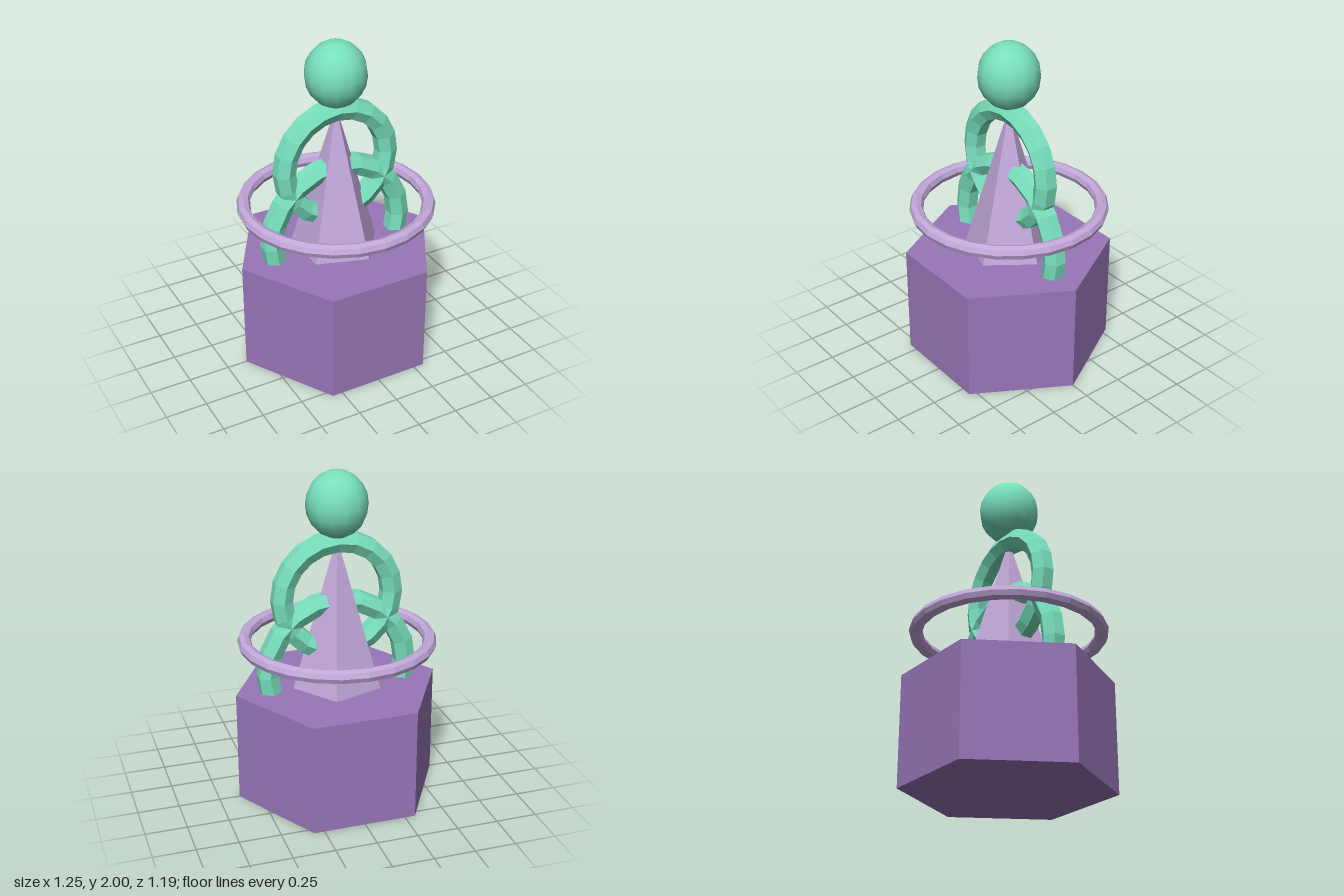
import * as THREE from 'three';

const purple = new THREE.MeshStandardMaterial({ color: 0x9876b8 });
purple.name = 'purple';
const lavender = new THREE.MeshStandardMaterial({ color: 0xc2a8da });
lavender.name = 'lavender';
const mint = new THREE.MeshStandardMaterial({ color: 0x78dfbd });
mint.name = 'mint';

// Give every face its own normal for the faceted look
function faceted(geometry) {
  const g = geometry.toNonIndexed();
  g.computeVertexNormals();
  return g;
}

// Faceted ring around the y axis; phase turns its cross-section
function ringGeometry(radius, tube, sides, segments, phase) {
  const profile = [];
  for (let i = 0; i <= sides; i++) {
    const a = phase + (i / sides) * Math.PI * 2;
    profile.push(new THREE.Vector2(radius + tube * Math.cos(a), tube * Math.sin(a)));
  }
  return faceted(new THREE.LatheGeometry(profile, segments));
}

export function createModel() {
  const model = new THREE.Group();
  model.name = 'ornament';

  function add(name, geometry, material, y) {
    const mesh = new THREE.Mesh(geometry, material);
    mesh.name = name;
    mesh.position.y = y;
    model.add(mesh);
  }

  // Six-sided plinth with corners on the x axis
  const plinth = new THREE.CylinderGeometry(0.626, 0.626, 0.68, 6).rotateY(Math.PI / 2);
  add('plinth', faceted(plinth), purple, 0.34);

  // Five-sided spire with one edge towards +x
  const spire = new THREE.ConeGeometry(0.274, 0.92, 5).rotateY(Math.PI / 2);
  add('spire', faceted(spire), lavender, 0.68 + 0.46);

  // Level hoop around the spire
  add('levelHoop', ringGeometry(0.553, 0.041, 8, 24, 0), lavender, 0.97);

  // Two upright hoops that run through the spire, the lower one sunk into the plinth
  for (const [name, radius, y] of [['upperHoop', 0.337, 1.243], ['lowerHoop', 0.43, 0.785]]) {
    const hoop = ringGeometry(radius, 0.069, 6, 20, Math.PI / 6).rotateX(Math.PI / 2);
    add(name, hoop, mint, y);
  }

  // Slightly tall ball on top
  const ball = new THREE.SphereGeometry(0.183, 14, 10).rotateY(Math.PI / 2).scale(1, 1.09, 1);
  add('ball', ball, mint, 1.8);

  return model;
}
